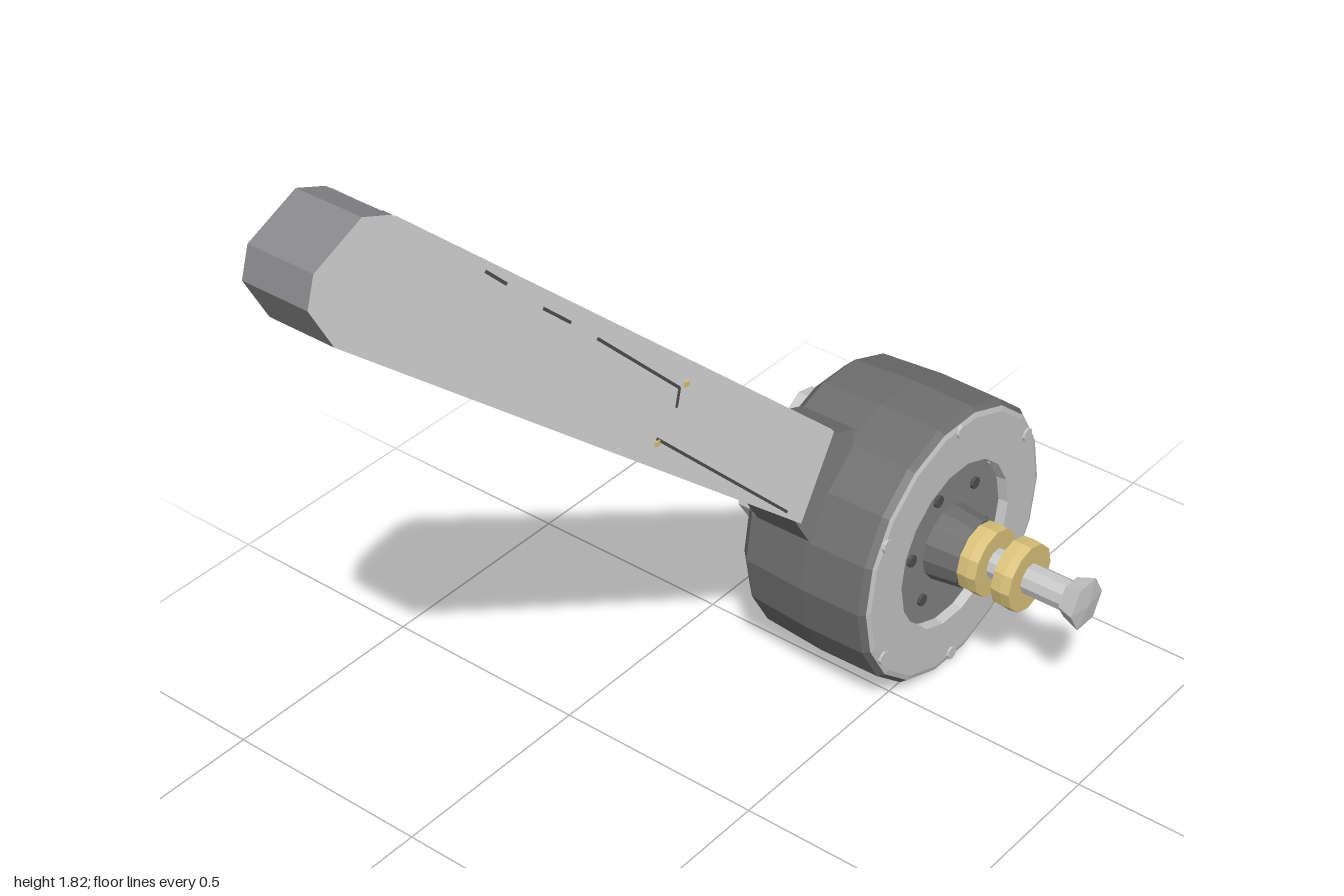
import * as THREE from 'three';

const mat = (name, color) => {
  const m = new THREE.MeshStandardMaterial({ color, flatShading: true });
  m.name = name;
  return m;
};

export function createModel() {
  const model = new THREE.Group();
  model.name = 'motorJointArm';
  const drumGrey = mat('drumGrey', 0x6e6e6e);
  const recessGrey = mat('recessGrey', 0x848484);
  const armGrey = mat('armGrey', 0x88888a);
  const panelGrey = mat('panelGrey', 0xdedede);
  const lightGrey = mat('lightGrey', 0xc8c8c8);
  const darkGrey = mat('darkGrey', 0x505050);
  const gold = mat('gold', 0xdcc47c);

  const add = (name, geo, material, parent = model) => {
    const m = new THREE.Mesh(geo, material);
    m.name = name;
    parent.add(m);
    return m;
  };

  // Motor assembly: everything turned around the x axis
  const motor = new THREE.Group();
  motor.name = 'motor';
  motor.position.set(0, 0.337, -0.665);
  model.add(motor);

  // Profile points are [radius, x]
  const turned = (name, pts, sides, material) => {
    const g = new THREE.LatheGeometry(pts.map(p => new THREE.Vector2(p[0], p[1])), sides);
    g.rotateZ(-Math.PI / 2);
    return add(name, g, material, motor);
  };
  turned('drumBody', [[0, -0.3], [0.3, -0.3], [0.325, -0.275], [0.335, -0.12], [0.333, 0.03], [0.322, 0.044]], 18, drumGrey);
  turned('drumRim', [[0.322, 0.044], [0.31, 0.048], [0.2, 0.048], [0.197, 0.025]], 18, lightGrey);
  turned('recessedFace', [[0.2, 0.025], [0.08, 0.025]], 14, recessGrey);
  turned('boss', [[0.09, 0.025], [0.08, 0.105]], 14, drumGrey);
  turned('shaft', [[0.036, 0.1], [0.036, 0.35]], 10, lightGrey);
  turned('shaftTip', [[0, 0.342], [0.045, 0.345], [0.06, 0.387], [0, 0.393]], 6, lightGrey);
  for (const x of [0.107, 0.195])
    turned('brassRing', [[0, x], [0.08, x], [0.082, x + 0.025], [0.08, x + 0.047], [0, x + 0.047]], 12, gold);

  // Screws on the rim and inside the recess
  const ring = (name, n, r, x, size, start, material) => {
    for (let i = 0; i < n; i++) {
      const a = start + i * Math.PI * 2 / n;
      const g = new THREE.CylinderGeometry(size, size, 0.014, 8).rotateZ(-Math.PI / 2);
      add(name, g, material, motor).position.set(x, r * Math.sin(a), r * Math.cos(a));
    }
  };
  ring('rimScrew', 6, 0.3, 0.046, 0.016, Math.PI / 6, lightGrey);
  ring('innerScrew', 6, 0.14, 0.026, 0.014, 0.2, darkGrey);

  // Extrudes a z-y outline from xStart towards -x
  const slab = (name, pts, xStart, depth, material, parent = model) => {
    const shape = new THREE.Shape(pts.map(p => new THREE.Vector2(p[0], p[1])));
    const g = new THREE.ExtrudeGeometry(shape, { depth, bevelEnabled: false });
    g.rotateY(-Math.PI / 2);
    g.translate(xStart, 0, 0);
    return add(name, g, material, parent);
  };

  // Arm beam between two pale side panels, and the neck joining it to the drum
  const armOutline = [[-0.31, 0.53], [0.95, 1.62], [1.0, 1.715], [0.98, 1.775],
    [0.865, 1.826], [0.8, 1.8], [-0.42, 0.705]];
  slab('armBeam', armOutline, -0.113, 0.133, armGrey);
  for (const x of [-0.105, -0.246])
    slab('armSidePanel', armOutline, x, 0.008, [panelGrey, armGrey]);
  slab('armNeck', [[-0.46, 0.45], [-0.345, 0.46], [-0.29, 0.55], [-0.41, 0.70], [-0.5, 0.665]],
    -0.11, 0.139, [recessGrey, drumGrey]);

  // Pale edge lines along the top of the arm
  const slope = Math.atan2(1.095, 1.22);
  for (const x of [-0.108, -0.251]) {
    const m = add('armEdgeLine', new THREE.BoxGeometry(0.007, 0.004, 1.62), panelGrey);
    m.position.set(x, 1.2525, 0.19);
    m.rotation.x = -slope;
  }

  // Thin seams along both sides of the arm, running between two z-y points
  const seam = (x, z0, y0, z1, y1) => {
    const g = new THREE.BoxGeometry(0.003, 0.006, Math.hypot(z1 - z0, y1 - y0));
    const m = add('armSeam', g, darkGrey);
    m.position.set(x, (y0 + y1) / 2, (z0 + z1) / 2);
    m.rotation.x = -Math.atan2(y1 - y0, z1 - z0);
  };
  for (const x of [-0.1045, -0.2545]) {
    seam(x, 0.08, 1.08, 0.31, 1.31);
    seam(x, 0.38, 1.38, 0.45, 1.445);
    seam(x, 0.54, 1.54, 0.59, 1.59);
    seam(x, 0.08, 1.08, 0.09, 1.04);
    seam(x, -0.26, 0.59, 0.15, 1.0);
    for (const [y, z] of [[1.08, 0.06], [0.99, 0.15]])
      add('contactPin', new THREE.BoxGeometry(0.008, 0.012, 0.012), gold).position.set(x, y, z);
  }

  // Openings on the upper edge of the arm
  const opening = (z, geo) => {
    const m = add('topOpening', geo, darkGrey);
    m.position.set(-0.177, 0.705 + (z + 0.42) * 1.095 / 1.22, z);
    m.rotation.x = -slope;
  };
  opening(0.035, new THREE.BoxGeometry(0.06, 0.006, 0.06));
  opening(0.725, new THREE.CylinderGeometry(0.022, 0.022, 0.006, 8));

  // Turned square cover with clipped corners on the rear of the drum
  const cover = new THREE.Group();
  cover.name = 'rearCover';
  cover.position.set(0, 0.352, -0.655);
  cover.rotation.x = 0.58;
  model.add(cover);
  const square = (h, c) => [[-h + c, -h], [h - c, -h], [h, -h + c], [h, h - c],
    [h - c, h], [-h + c, h], [-h, h - c], [-h, -h + c]];
  slab('coverBase', square(0.135, 0.03), -0.295, 0.05, darkGrey, cover);
  slab('coverPlate', square(0.157, 0.035), -0.34, 0.05, lightGrey, cover);

  // Small connectors beside the cover
  for (const [y, z] of [[0.51, -0.81], [0.2, -0.81]]) {
    add('connector', new THREE.BoxGeometry(0.06, 0.06, 0.05), lightGrey).position.set(-0.325, y, z);
    add('connectorSocket', new THREE.BoxGeometry(0.008, 0.035, 0.03), darkGrey).position.set(-0.356, y, z);
  }
  return model;
}
